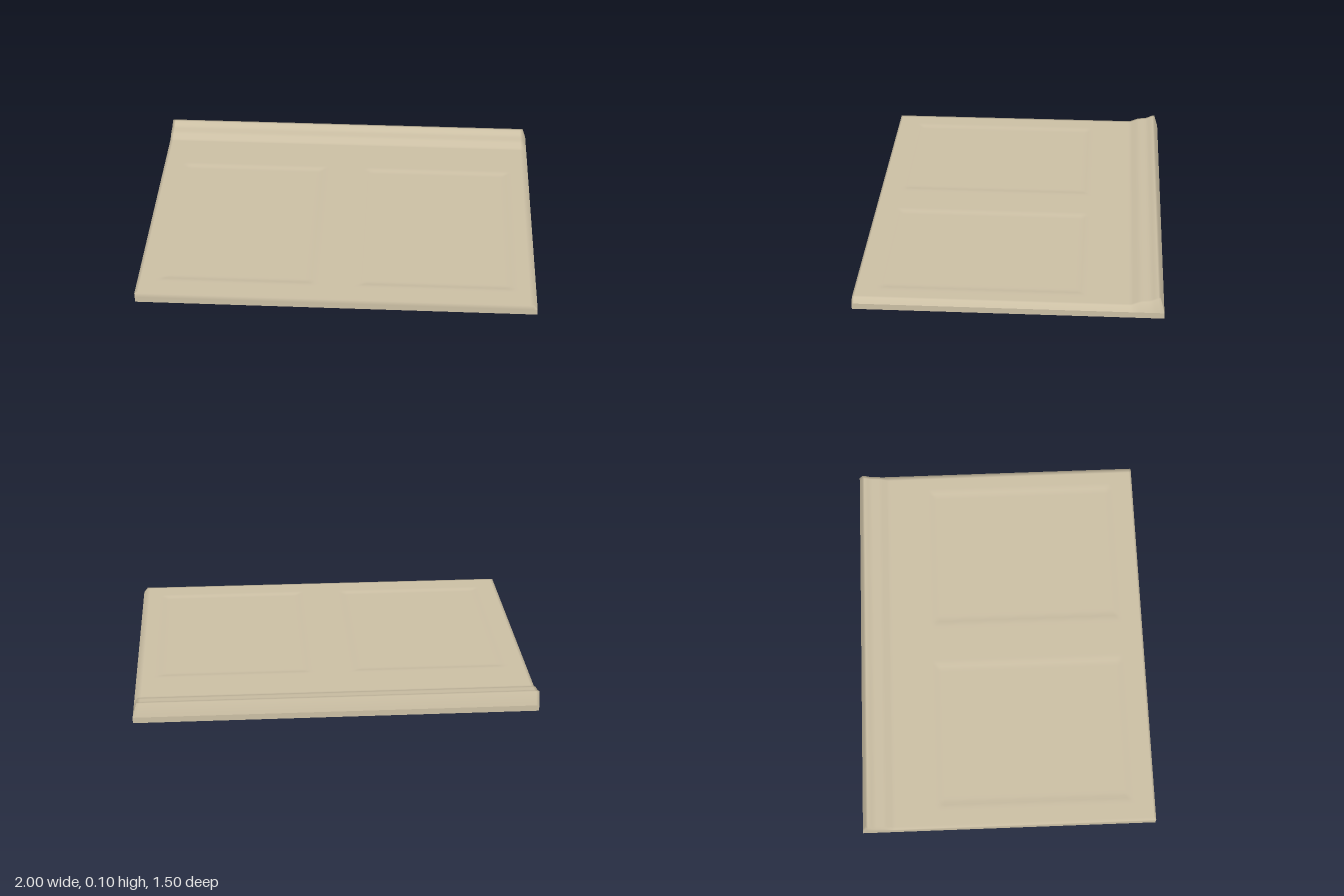
import * as THREE from 'three';

const BASE = 0.03, FIELD = 0.055, RECESS = 0.005;

// Cross-section of the raised back rail: [z, y]
const RAIL = [[-0.73, 0.097], [-0.715, 0.095], [-0.685, 0.08], [-0.635, 0.074], [-0.59, FIELD]];

// Recessed panels: centre and half sizes
const PANELS = [-0.5, 0.5].map(x => ({ x, z: 0.135, hx: 0.395, hz: 0.505 }));

function railHeight(z) {
  for (let i = 0; i < RAIL.length - 1; i++) {
    const [z0, y0] = RAIL[i], [z1, y1] = RAIL[i + 1];
    if (z <= z1) return THREE.MathUtils.mapLinear(Math.max(z, z0), z0, z1, y0, y1);
  }
  return FIELD;
}

function surfaceHeight(x, z) {
  let y = railHeight(z);
  for (const p of PANELS) {
    const inset = Math.min(p.hx - Math.abs(x - p.x), p.hz - Math.abs(z - p.z));
    y -= RECESS * THREE.MathUtils.smoothstep(inset, 0, 0.04);
  }
  return y;
}

function steps(from, to, count) {
  return Array.from({ length: count + 1 }, (_, i) => from + (to - from) * i / count);
}

// Smooth relief: upright walls at the left and front, sloping ones at the right and back
function reliefGeometry() {
  const xs = [-1, ...steps(-1, 0.98, 132), 1];
  const zs = [-0.75, ...steps(-0.73, 0.75, 148), 0.75];
  const points = [], index = [];
  zs.forEach((z, j) => xs.forEach((x, i) => {
    const rim = i === 0 || j === 0 || i === xs.length - 1 || j === zs.length - 1;
    points.push(x, rim ? BASE : surfaceHeight(x, z), z);
    if (i < xs.length - 1 && j < zs.length - 1) {
      const a = j * xs.length + i, b = a + xs.length;
      index.push(a, b, a + 1, b, b + 1, a + 1);
    }
  }));
  const geometry = new THREE.BufferGeometry();
  geometry.setAttribute('position', new THREE.Float32BufferAttribute(points, 3));
  geometry.setIndex(index);
  geometry.computeVertexNormals();
  return geometry;
}

export function createModel() {
  const group = new THREE.Group();
  group.name = 'panelledSlab';
  const tan = new THREE.MeshStandardMaterial({ color: 0xcbbfa4 });
  tan.name = 'tan';

  // Flat backing slab
  const base = new THREE.Mesh(new THREE.BoxGeometry(2, BASE, 1.5), tan);
  base.name = 'base';
  base.position.y = BASE / 2;

  // Moulded face with rail and two recessed panels
  const relief = new THREE.Mesh(reliefGeometry(), tan);
  relief.name = 'mouldedFace';

  group.add(base, relief);
  return group;
}
